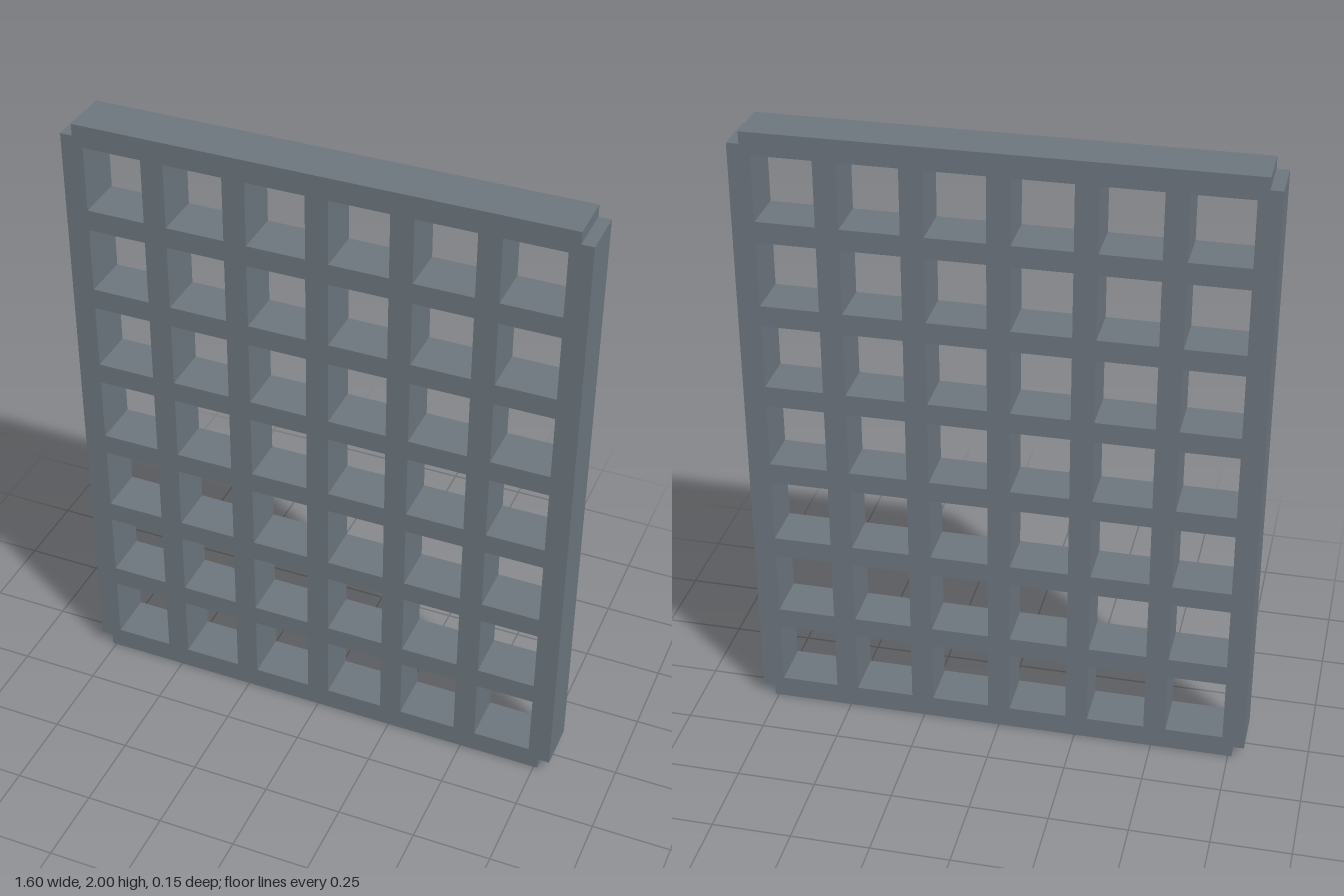
import * as THREE from 'three';

const HALF_W = 0.8, HEIGHT = 2, DEPTH = 0.154, NOTCH = 0.038;
const COLS = 6, ROWS = 7, PITCH_X = 0.255, PITCH_Y = 0.275;
const HOLE_W = 0.184, HOLE_H = 0.208;

// Rectangular opening centred on (x, y)
function opening(x, y) {
  const w = HOLE_W / 2, h = HOLE_H / 2;
  return new THREE.Path([[-w, -h], [-w, h], [w, h], [w, -h]]
    .map(([dx, dy]) => new THREE.Vector2(x + dx, y + dy)));
}

export function createModel() {
  const group = new THREE.Group();
  group.name = 'latticePanel';
  const material = new THREE.MeshStandardMaterial({ color: 0x6c757d });
  material.name = 'slate grey';

  // Outline with a square notch in each corner
  const a = HALF_W, b = HALF_W - NOTCH, t = HEIGHT, n = NOTCH;
  const outline = new THREE.Shape([
    [-b, 0], [b, 0], [b, n], [a, n], [a, t - n], [b, t - n],
    [b, t], [-b, t], [-b, t - n], [-a, t - n], [-a, n], [-b, n],
  ].map(([x, y]) => new THREE.Vector2(x, y)));

  // Grid of openings
  for (let c = 0; c < COLS; c++) {
    for (let r = 0; r < ROWS; r++) {
      outline.holes.push(opening(
        (c - (COLS - 1) / 2) * PITCH_X,
        HEIGHT / 2 + (r - (ROWS - 1) / 2) * PITCH_Y));
    }
  }

  const geometry = new THREE.ExtrudeGeometry(outline, { depth: DEPTH, bevelEnabled: false });
  geometry.translate(0, 0, -DEPTH / 2);
  const lattice = new THREE.Mesh(geometry, material);
  lattice.name = 'lattice';
  group.add(lattice);
  return group;
}
